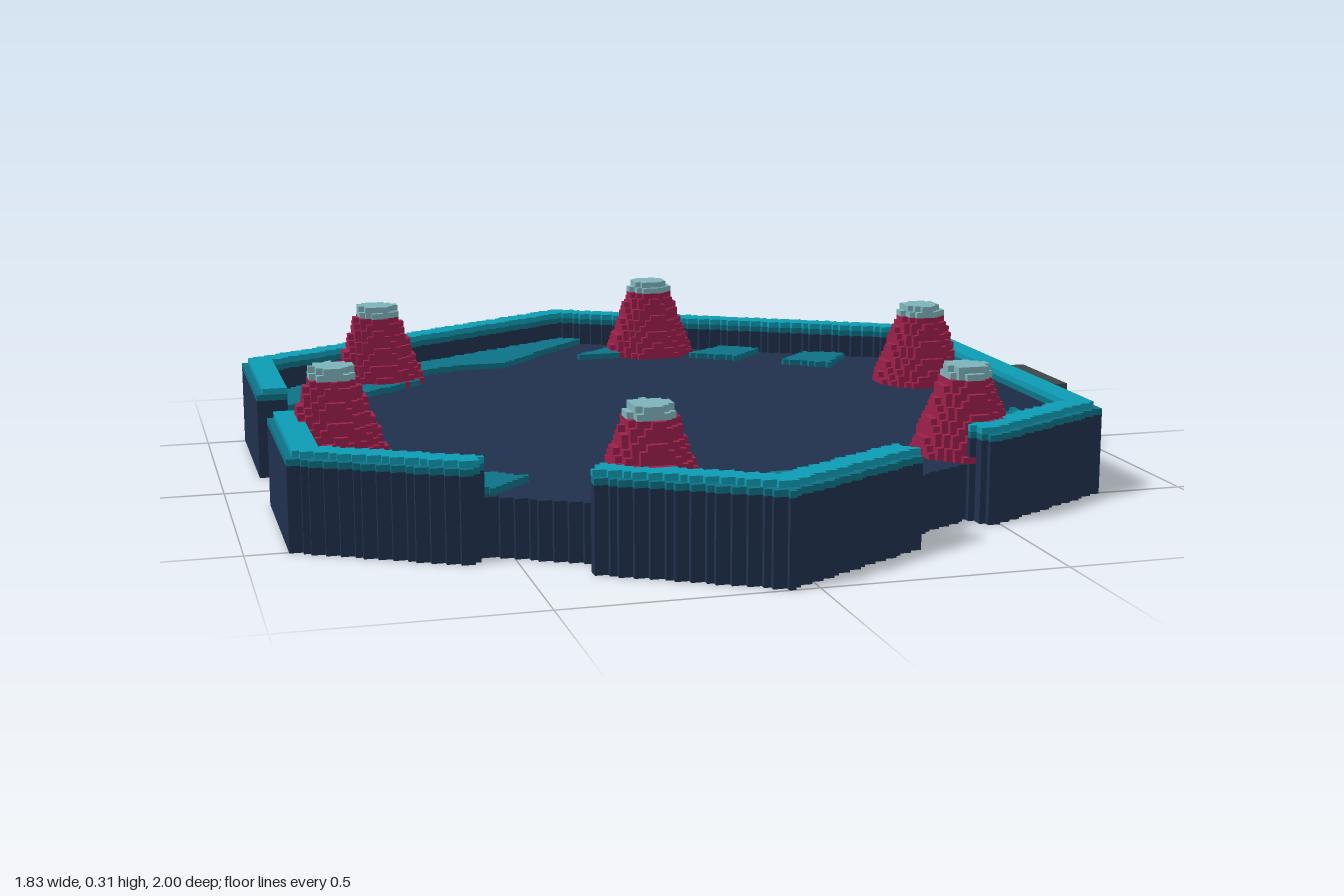
import * as THREE from 'three';

// Hexagonal block-built arena tile, made of small cubes by rules.
const S = 2 / 150, N = [137, 24, 150], CX = -0.055;
const ORIGIN = [-N[0] * S / 2, 0, -1];
const FLOOR = 9 * S;

const PARTS = [
  ['base', 'navy', 0x20324f],
  ['rimBand', 'dark teal', 0x0d7488],
  ['rimTop', 'bright teal', 0x0e9fb7],
  ['floorStripes', null, 1],
  ['cones', 'crimson', 0x9f204c],
  ['coneCaps', 'pale teal', 0x80b6bd],
  ['connectorTabs', 'grey', 0x3e494b],
];
const [BASE, BAND, TOP, STRIPE, CONE, CAP, TAB] = PARTS.keys();

// Painted diagonal bands on the floor, as x, z outlines
const STRIPES = [
  [[-0.46, -0.70], [-0.04, -0.93], [0, -0.9], [-0.26, -0.62], [-0.38, -0.61], [-0.52, -0.56]],
  [[-0.85, -0.24], [-0.85, -0.41], [-0.66, -0.58], [-0.5, -0.46], [-0.64, -0.35], [-0.68, -0.38]],
  [[-0.06, -0.67], [0.05, -0.77], [0.1, -0.67]],
  [[0.22, -0.62], [0.33, -0.7], [0.41, -0.63], [0.32, -0.55]],
  [[0.42, -0.47], [0.5, -0.56], [0.6, -0.52], [0.52, -0.4]],
  [[0.59, 0.18], [0.63, 0.03], [0.69, -0.1], [0.66, 0.14]],
  [[0.58, 0.4], [0.75, 0.2], [0.75, 0.29], [0.6, 0.48], [0.45, 0.62], [0.46, 0.5]],
  [[-0.2, 0.84], [-0.03, 0.65], [0.13, 0.64], [-0.1, 0.87]],
  [[-0.62, 0.56], [-0.53, 0.48], [-0.45, 0.54], [-0.53, 0.63]],
  [[-0.85, 0.43], [-0.67, 0.28], [-0.61, 0.37], [-0.76, 0.51], [-0.85, 0.5]],
  [[-0.85, 0.13], [-0.72, 0], [-0.72, 0.1], [-0.78, 0.12]],
];

function inside(poly, x, z) {
  let hit = false;
  poly.forEach(([ax, az], i) => {
    const [bx, bz] = poly[(i + 1) % poly.length];
    if (az > z !== bz > z && x < ax + (z - az) * (bx - ax) / (bz - az)) hit = !hit;
  });
  return hit;
}

// Six side directions; the first three carry tabs, the last three have slots
const SIDES = [0, 60, 120, 180, 240, 300].map(d => {
  const a = d * Math.PI / 180;
  return [Math.cos(a), -Math.sin(a)];
});
const CONES = [15, 75, 135, 195, 255, 315].map(d => {
  const a = d * Math.PI / 180;
  return [0.755 * Math.cos(a), -0.755 * Math.sin(a)];
});

// Which parts fill the column of cubes at x, z
function fillColumn(x, z, set) {
  const hx = x - CX;
  let reach = 0, side = 0;
  SIDES.forEach(([nx, nz], k) => {
    const d = hx * nx + z * nz;
    if (d > reach) { reach = d; side = k; }
  });
  const along = Math.abs(z * SIDES[side][0] - hx * SIDES[side][1]);
  const slot = side >= 3 && along < 0.118;

  // Floor with a blind round socket underneath, and the raised wall
  if (reach < 0.795) {
    for (let j = Math.hypot(hx, z) < 0.11 ? 5 : 0; j < 9; j++) set(j, BASE);
    if (STRIPES.some(p => inside(p, x, z))) set(9, STRIPE);
  } else if (reach < 0.862 && !slot) {
    for (let j = 0; j < 13; j++) set(j, BASE);
    set(13, BAND);
    if (reach < 0.848) set(14, TOP);
  } else if (side < 3 && reach >= 0.862 && reach < 0.965 && along < 0.095 + (reach - 0.862) * 0.3) {
    for (let j = 0; j < 12; j++) set(j, TAB);
  }

  // Tapered studs with pale caps
  for (const [px, pz] of CONES) {
    const r = Math.hypot(hx - px, z - pz);
    for (let j = 9; j < 21; j++) if (r < 0.107 - (j - 9) * 0.005) set(j, CONE);
    if (r < 0.049) set(21, CAP);
    if (r < 0.043) set(22, CAP);
  }
}

// Exposed cube faces of every part, joined into strips
function buildGeometries(grid) {
  const cell = p => p.some((v, a) => v < 0 || v >= N[a]) ? -1 : grid[(p[0] * N[1] + p[1]) * N[2] + p[2]];
  const out = PARTS.map(() => ({ pos: [], nor: [], idx: [] }));

  function quad(part, start, len, run, a, dir) {
    const o = out[part], b = (a + 1) % 3, c = (a + 2) % 3, first = o.pos.length / 3;
    for (const [ub, uc] of [[0, 0], [1, 0], [1, 1], [0, 1]]) {
      const p = [...start], n = [0, 0, 0];
      if (dir > 0) p[a] += 1;
      p[b] += ub * (b === run ? len : 1);
      p[c] += uc * (c === run ? len : 1);
      n[a] = dir;
      o.pos.push(...p.map((v, k) => v * S + ORIGIN[k]));
      o.nor.push(...n);
    }
    o.idx.push(...(dir > 0 ? [0, 1, 2, 0, 2, 3] : [0, 2, 1, 0, 3, 2]).map(i => i + first));
  }

  for (let a = 0; a < 3; a++) {
    const run = a === 0 ? 2 : 0, other = 3 - a - run;
    for (const dir of [-1, 1]) {
      for (let i = 0; i < N[a]; i++) for (let j = 0; j < N[other]; j++) {
        let current = -1, from = 0;
        for (let k = 0; k <= N[run]; k++) {
          const p = [0, 0, 0];
          p[a] = i; p[other] = j; p[run] = k;
          let part = cell(p);
          p[a] += dir;
          if (part >= 0 && cell(p) >= 0) part = -1;
          if (part === current) continue;
          if (current >= 0) {
            const s = [0, 0, 0];
            s[a] = i; s[other] = j; s[run] = from;
            quad(current, s, k - from, run, a, dir);
          }
          current = part;
          from = k;
        }
      }
    }
  }
  return out.map(o => {
    const g = new THREE.BufferGeometry();
    g.setAttribute('position', new THREE.Float32BufferAttribute(o.pos, 3));
    g.setAttribute('normal', new THREE.Float32BufferAttribute(o.nor, 3));
    g.setIndex(o.idx);
    return g;
  });
}

export function createModel() {
  const grid = new Int8Array(N[0] * N[1] * N[2]).fill(-1);
  for (let i = 0; i < N[0]; i++) for (let k = 0; k < N[2]; k++) {
    fillColumn(ORIGIN[0] + (i + 0.5) * S, ORIGIN[2] + (k + 0.5) * S,
      (j, part) => { grid[(i * N[1] + j) * N[2] + k] = part; });
  }
  const group = new THREE.Group();
  group.name = 'hexTile';
  const materials = [];
  buildGeometries(grid).forEach((geometry, n) => {
    const [name, colourName, colour] = PARTS[n];
    // Stripes share the dark teal of the rim band
    if (colourName === null) materials.push(materials[colour]);
    else {
      const m = new THREE.MeshStandardMaterial({ color: colour });
      m.name = colourName;
      materials.push(m);
    }
    const mesh = new THREE.Mesh(geometry, materials[n]);
    mesh.name = name;
    group.add(mesh);
  });
  return group;
}
